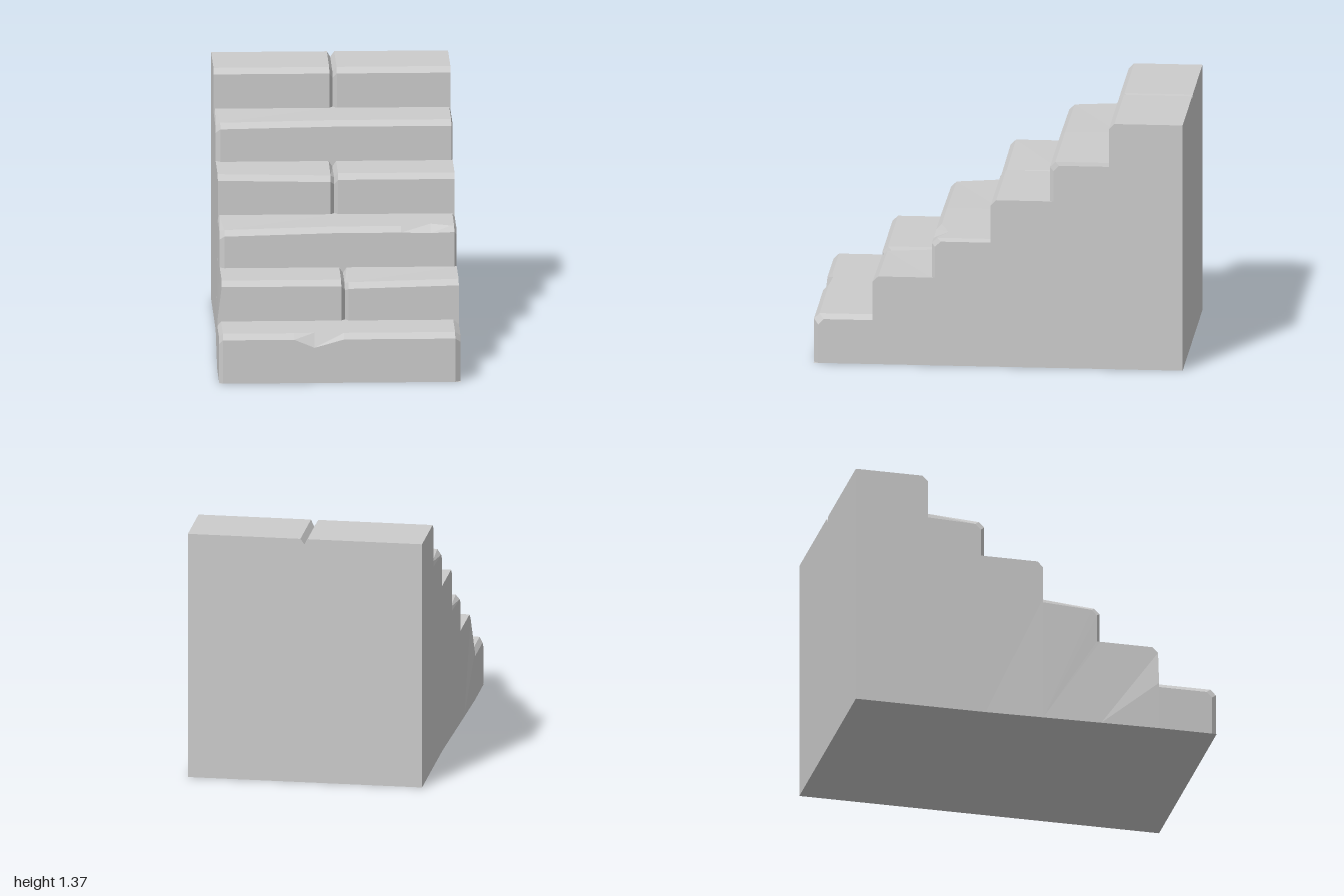
import * as THREE from 'three';

const BEVEL = 0.03;
const LEFT = -0.63, RIGHT = 0.65;
const clamp = (v) => Math.min(1, Math.max(0, v));

// The left flank splays out slightly towards the front of the base.
const flare = (y, z) => 0.025 * clamp((z + 0.3) / 0.95) * (y <= 0.271 ? 1 : clamp((0.47 - y) / 0.2));

// Stations along x: inset = sunk joint or worn end, drop = sagging front edge,
// low / lip = chip cut down the riser / back into the tread, xb = x at the rear.
const joint = (l, c, r, dropL = 0, dropR = 0) => [
  { x: l, drop: dropL }, { x: c, inset: 0.03 }, { x: r, drop: dropR },
];
const chip = (l, c, r, low, lip) => [{ x: l }, { x: c, low, lip }, { x: r }];
const plain = (...middle) => [{ x: LEFT }, ...middle, { x: RIGHT }];

const STEPS = [
  { name: 'bottomStep', stations: [
    { x: LEFT, inset: 0.025 }, { x: -0.61 }, ...chip(-0.25, -0.14, 0.02, 0.045, 0.01),
    { x: 0.62 }, { x: RIGHT, inset: 0.025 }] },
  { name: 'secondStep', stations: plain(...joint(0.015, 0.035, 0.055, 0, 0.015)) },
  { name: 'thirdStep', stations: [
    { x: LEFT, inset: 0.02, drop: 0.015 }, { x: -0.605, xb: -0.622, drop: 0.015 }, { x: 0 },
    ...chip(0.35, 0.51, 0.62, 0.004, 0.05), { x: 0.637 }, { x: RIGHT, inset: 0.018 }] },
  { name: 'fourthStep', stations: plain(...joint(-0.02, 0, 0.02, 0.012, 0)) },
  { name: 'fifthStep', stations: [
    { x: LEFT, inset: 0.025, drop: 0.01 }, { x: -0.605, xb: -0.622, drop: 0.01 }, { x: 0 },
    { x: 0.643 }, { x: RIGHT, inset: 0.02 }] },
  { name: 'topStep', stations: plain(...joint(-0.005, 0.013, 0.035)) },
];

// Lofts one step: a bevelled side profile swept through its stations.
function stepGeometry(stations, h0, h, zf, zb) {
  const positions = [], index = [];
  const n = 7;
  for (const { x, xb = x, inset = 0, drop = 0, low = 0, lip = 0 } of stations) {
    const ring = [
      [x, 0, zb],
      [x, 0, zf],
      [x, h0, zf],
      [x, h0, zf - inset],
      [x, h - BEVEL - inset - drop - low, zf - inset],
      [x, h - inset - drop, zf - BEVEL - inset - lip],
      [xb, h - inset, zb],
    ];
    for (const [px, y, z] of ring) positions.push(px < -0.5 ? px - flare(y, z) : px, y, z);
  }
  const last = (stations.length - 1) * n;
  for (let s = 0; s < last; s += n) {
    for (let i = 0; i < n; i++) {
      const a = s + i, b = s + (i + 1) % n;
      index.push(a, a + n, b + n, a, b + n, b);
    }
  }
  // End faces
  for (let i = 1; i < n - 1; i++) {
    index.push(0, i, i + 1, last, last + i + 1, last + i);
  }
  const indexed = new THREE.BufferGeometry();
  indexed.setAttribute('position', new THREE.Float32BufferAttribute(positions, 3));
  indexed.setIndex(index);
  const geometry = indexed.toNonIndexed();
  geometry.computeVertexNormals();
  return geometry;
}

export function createModel() {
  const group = new THREE.Group();
  group.name = 'stoneStairs';
  const stone = new THREE.MeshStandardMaterial({ color: 0xcccccc, flatShading: true });

  STEPS.forEach(({ name, stations }, i) => {
    const h = 0.27 + 0.22 * i;
    const h0 = i === 0 ? 0 : h - 0.22;
    const zf = 1 - 0.32 * i;
    const zb = i === STEPS.length - 1 ? -1 : zf - 0.32;
    const mesh = new THREE.Mesh(stepGeometry(stations, h0, h, zf, zb), stone);
    mesh.name = name;
    group.add(mesh);
  });
  return group;
}
